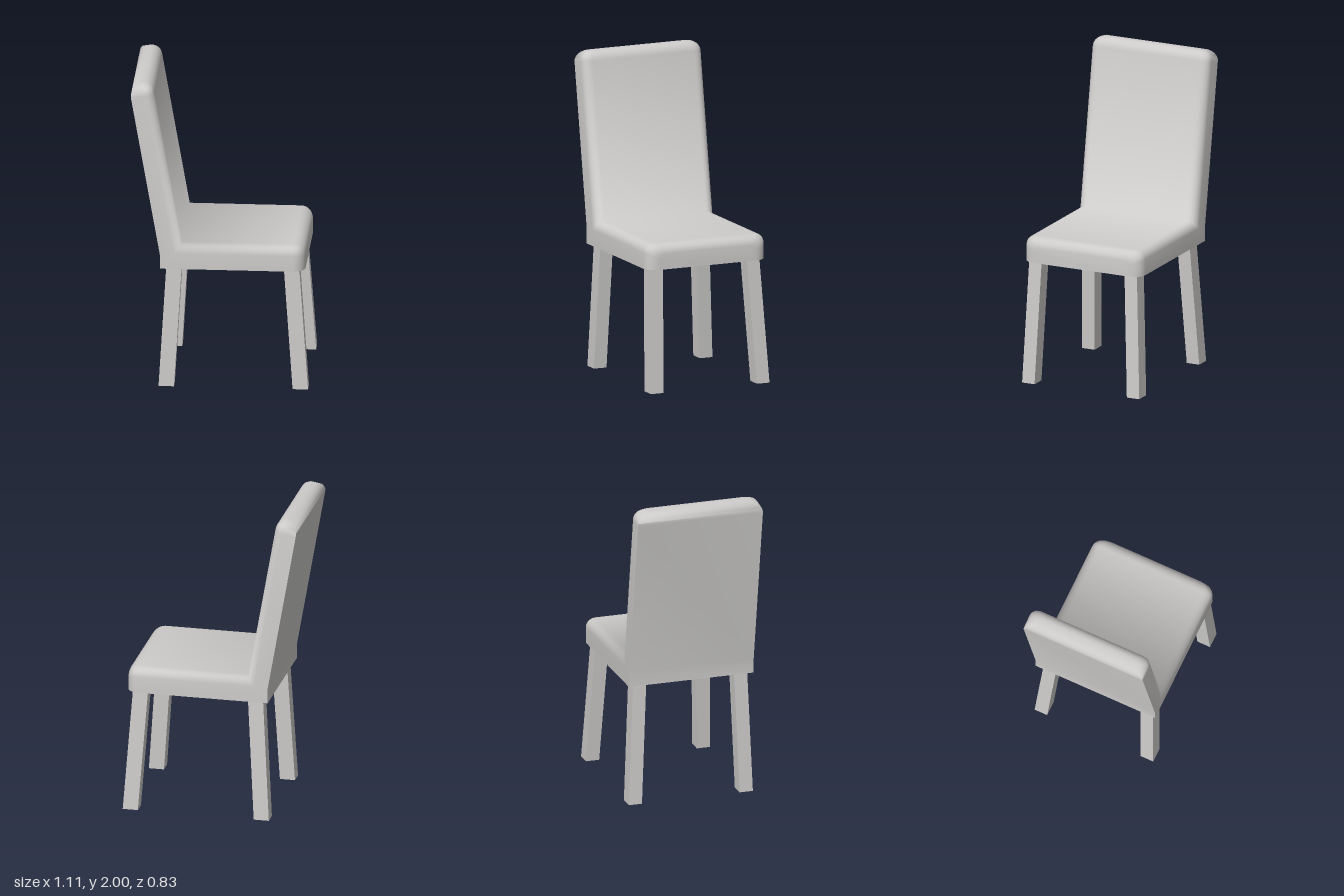
import * as THREE from 'three';
import { toCreasedNormals } from 'three/addons/utils/BufferGeometryUtils.js';

const HALF_WIDTH = 0.412;
const EDGE = 0.06; // rounding of the cushioned edges, measured across the width

// A cross-section runs from the outer side (bottom/back) to the inner side (seat top/back front).
function station(o, i, w, m = o.clone().lerp(i, 0.65)) {
  return { o, m, i, w };
}

// Ring of points: sharp outer corners, rounded inner corners.
function ringOf({ o, m, i, w }) {
  const steps = 5;
  const half = [[o, w]];
  for (let k = 0; k <= steps; k++) {
    const a = (k / steps) * Math.PI / 2;
    half.push([m.clone().lerp(i, Math.sin(a)), w - EDGE * (1 - Math.cos(a))]);
  }
  const left = half.map(([p, z]) => new THREE.Vector3(p.x, p.y, -z));
  const right = half.map(([p, z]) => new THREE.Vector3(p.x, p.y, z)).reverse();
  return [...left, ...right];
}

// Seat and backrest as one swept, bent cushion.
function shellGeometry() {
  const v = (x, y) => new THREE.Vector2(x, y);
  const stations = [];
  const steps = 6;
  const angles = Array.from({ length: steps + 1 }, (_, k) => (k / steps) * Math.PI / 2);

  // Rounded front end of the seat
  for (const a of angles) {
    const x = 0.535 - 0.075 * (1 - Math.cos(a));
    const inset = 1 - Math.sin(a);
    stations.push(station(v(x, 0.785), v(x, 0.945 - 0.06 * inset), HALF_WIDTH - 0.08 * inset));
  }

  // Bend from seat to backrest, with a short upright piece behind
  const corner = v(-0.24, 0.945);
  const bend = station(v(-0.375, 0.785), corner, HALF_WIDTH);
  const kink = v(-0.375, 0.88);
  stations.push(bend, station(kink, corner, HALF_WIDTH, bend.m));

  // Rounded top of the leaning backrest
  const up = v(-0.172, 0.985);
  const across = v(0.985, 0.172);
  for (const a of [...angles].reverse()) {
    const inset = 1 - Math.sin(a);
    const base = kink.clone().addScaledVector(up, 1.121 - 0.07 * (1 - Math.cos(a)));
    const o = base.clone().addScaledVector(across, 0.06 * inset);
    const i = base.clone().addScaledVector(across, 0.144 - 0.06 * inset);
    stations.push(station(o, i, HALF_WIDTH - 0.08 * inset));
  }

  // Join the rings and close both ends
  const rings = stations.map(ringOf);
  const positions = [];
  const tri = (a, b, c) => {
    if (a.equals(b) || b.equals(c) || c.equals(a)) return;
    for (const p of [a, b, c]) positions.push(p.x, p.y, p.z);
  };
  const n = rings[0].length;
  for (let s = 0; s < rings.length - 1; s++) {
    for (let j = 0; j < n; j++) {
      const k = (j + 1) % n;
      tri(rings[s][j], rings[s + 1][j], rings[s + 1][k]);
      tri(rings[s][j], rings[s + 1][k], rings[s][k]);
    }
  }
  const first = rings[0];
  const last = rings[rings.length - 1];
  for (let j = 1; j < n - 1; j++) {
    tri(first[0], first[j], first[j + 1]);
    tri(last[0], last[j + 1], last[j]);
  }
  const geometry = new THREE.BufferGeometry();
  geometry.setAttribute('position', new THREE.Float32BufferAttribute(positions, 3));
  return toCreasedNormals(geometry, THREE.MathUtils.degToRad(85));
}

// Square leg whose foot is shifted outward from its top
function legGeometry(top, foot) {
  const height = 0.79;
  const geometry = new THREE.BoxGeometry(0.097, height, 0.087).toNonIndexed();
  const p = geometry.attributes.position;
  for (let k = 0; k < p.count; k++) {
    const [cx, cz] = p.getY(k) > 0 ? top : foot;
    p.setXYZ(k, p.getX(k) + cx, p.getY(k) + height / 2, p.getZ(k) + cz);
  }
  geometry.computeVertexNormals();
  return geometry;
}

export function createModel() {
  const model = new THREE.Group();
  model.name = 'chair';
  const grey = new THREE.MeshStandardMaterial({ color: 0xcccbc9 });
  grey.name = 'light grey';

  const add = (name, geometry) => {
    const mesh = new THREE.Mesh(geometry, grey);
    mesh.name = name;
    model.add(mesh);
  };

  add('seatAndBackrest', shellGeometry());

  // Legs: centre of the top and of the foot, as x and z
  for (const [end, topX, footX] of [['front', 0.45, 0.506], ['back', -0.288, -0.335]]) {
    add(`${end}LegNear`, legGeometry([topX, 0.338], [footX, 0.36]));
    add(`${end}LegFar`, legGeometry([topX, -0.328], [footX, -0.372]));
  }
  return model;
}
